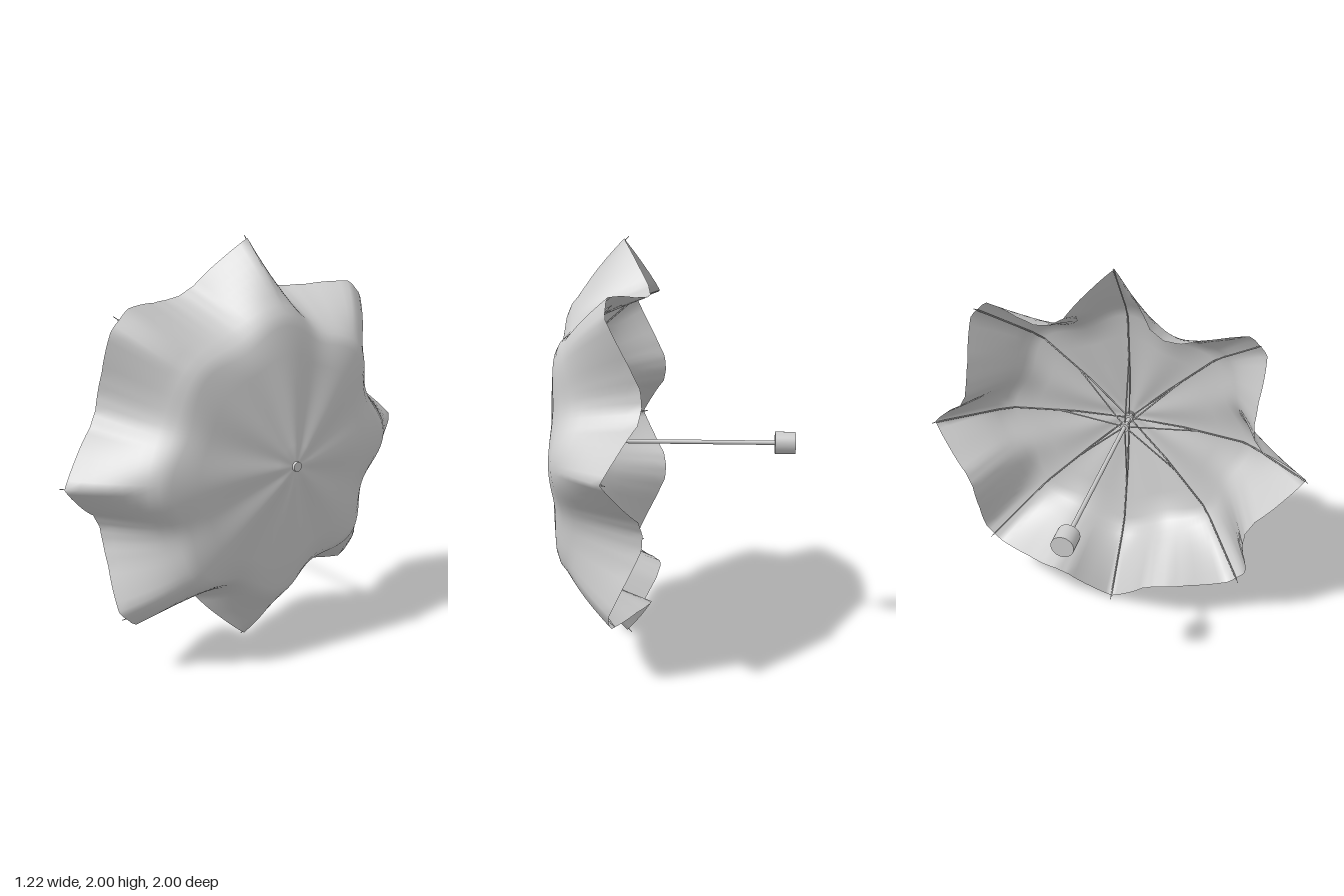
import * as THREE from 'three';

const V = (x, y, z) => new THREE.Vector3(x, y, z);
const CY = 1; // height of the pole axis
const lerp = THREE.MathUtils.lerp;

// Point at axial position x, radius r, angle a around the pole
const polar = (x, r, a) => V(x, CY + r * Math.cos(a), r * Math.sin(a));

// Canopy sections [radius, x]: along a rib and along the middle of a panel
const ribLine = [[0, 0.593], [0.1, 0.588], [0.3, 0.56], [0.5, 0.527], [0.63, 0.505], [0.68, 0.485], [0.715, 0.455]];
const panelLine = [[0, 0.593], [0.1, 0.583], [0.3, 0.545], [0.47, 0.52], [0.57, 0.498], [0.62, 0.455], [0.655, 0.4]];

// Rim from a pointed corner (0 deg) to a blunt corner (45 deg): [degrees, radius, x]
const rim = [[0, 0.99, 0.23], [6.3, 0.905, 0.17], [15, 0.802, 0.095], [20.5, 0.785, 0.08],
  [25.8, 0.805, 0.085], [32, 0.86, 0.135], [41.7, 0.988, 0.235], [45, 0.985, 0.235]];

function rimAt(deg) {
  let d = ((deg % 90) + 90) % 90;
  if (d > 45) d = 90 - d;
  let i = 0;
  while (i < rim.length - 2 && d > rim[i + 1][0]) i++;
  const [a, b] = [rim[i], rim[i + 1]];
  const t = (d - a[0]) / (b[0] - a[0]);
  return [lerp(a[1], b[1], t), lerp(a[2], b[2], t)];
}

function canopyGeometry() {
  const N = 192, OUTER = 6, pos = [], index = [];
  const inner = ribLine.length, rows = inner + OUTER;
  for (let j = 0; j < rows; j++) {
    for (let i = 0; i < N; i++) {
      const a = (i / N) * Math.PI * 2;
      const w = Math.sin(a * 4) ** 2; // 0 on a rib, 1 mid panel
      const k = Math.min(j, inner - 1);
      let r = lerp(ribLine[k][0], panelLine[k][0], w);
      let x = lerp(ribLine[k][1], panelLine[k][1], w);
      if (j >= inner) { // skirt running out to the scalloped rim
        const t = (j - inner + 1) / OUTER, [rr, rx] = rimAt((i / N) * 360);
        r = lerp(r, rr, t);
        x = lerp(x, rx, t) + 0.012 * Math.sin(Math.PI * t);
      }
      pos.push(...polar(x, r, a).toArray());
    }
  }
  for (let j = 0; j < rows - 1; j++) {
    for (let i = 0; i < N; i++) {
      const n = (i + 1) % N;
      const a = j * N + i, b = (j + 1) * N + i, c = (j + 1) * N + n, d = j * N + n;
      index.push(a, b, c);
      if (j > 0) index.push(a, c, d);
    }
  }
  const g = new THREE.BufferGeometry();
  g.setAttribute('position', new THREE.Float32BufferAttribute(pos, 3));
  g.setIndex(index);
  g.computeVertexNormals();
  // the centre vertices coincide: face them all along the pole
  for (let i = 0; i < N; i++) g.attributes.normal.setXYZ(i, 1, 0, 0);
  return g;
}

export function createModel() {
  const model = new THREE.Group();
  model.name = 'umbrella';
  const mat = new THREE.MeshStandardMaterial({ color: 0xcccccc });
  const cloth = new THREE.MeshStandardMaterial({ color: 0xcccccc, side: THREE.DoubleSide });

  const add = (name, geo, parent = model, m = mat) => {
    const mesh = new THREE.Mesh(geo, m);
    mesh.name = name;
    parent.add(mesh);
    return mesh;
  };
  // Round bar between two points
  const rod = (name, a, b, radius, parent = model, sides = 6) => {
    const mesh = add(name, new THREE.CylinderGeometry(radius, radius, a.distanceTo(b), sides), parent);
    mesh.position.copy(a).lerp(b, 0.5);
    mesh.quaternion.setFromUnitVectors(V(0, 1, 0), b.clone().sub(a).normalize());
    return mesh;
  };
  const axial = (name, x0, x1, radius, sides = 24) => rod(name, V(x0, CY, 0), V(x1, CY, 0), radius, model, sides);

  add('canopy', canopyGeometry(), model, cloth);

  // Parts along the pole
  axial('pole', -0.52, 0.59, 0.011, 16);
  axial('handle', -0.61, -0.51, 0.055, 32);
  axial('runner', 0.45, 0.485, 0.024);
  axial('topHub', 0.545, 0.575, 0.022);
  axial('topCap', 0.585, 0.605, 0.023);

  // Eight ribs under the cloth, each with a strut to the runner
  const path = [[0.02, 0.56], [0.3, 0.546], [0.63, 0.49], [0.705, 0.445], [0.985, 0.222], [1, 0.207]];
  for (let i = 0; i < 8; i++) {
    const a = (i * Math.PI) / 4;
    const frame = new THREE.Group();
    frame.name = 'ribAndStrut' + (i + 1);
    model.add(frame);
    for (let k = 0; k < path.length - 1; k++) {
      const [r0, x0] = path[k], [r1, x1] = path[k + 1];
      rod('rib', polar(x0, r0, a), polar(x1, r1, a), k === path.length - 2 ? 0.002 : 0.004, frame);
    }
    rod('strut', polar(0.467, 0.02, a), polar(0.53, 0.38, a), 0.004, frame);
  }
  return model;
}
